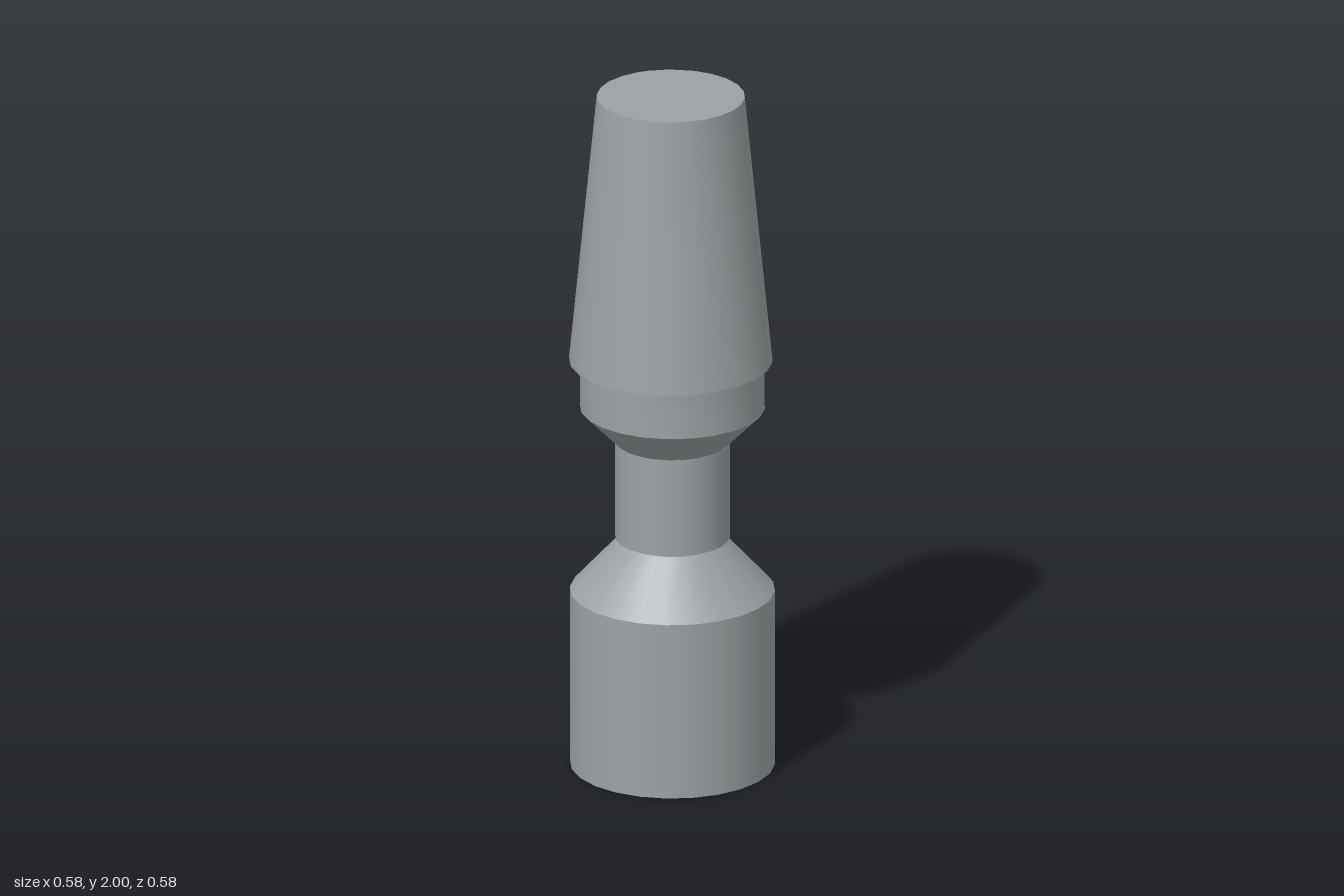
import * as THREE from 'three';

const SIDES = 24;
const material = new THREE.MeshStandardMaterial({ color: 0x9ca2a4 });

// Plain capped frustum, smooth around its sides.
function frustum(name, y0, y1, r0, r1) {
  const mesh = new THREE.Mesh(new THREE.CylinderGeometry(r1, r0, y1 - y0, SIDES), material);
  mesh.name = name;
  mesh.position.y = (y0 + y1) / 2;
  return mesh;
}

// Capped section lofted from columns: [bottom angle, bottom radius, top angle, top radius].
// Angles are in degrees, from -x towards -z. A repeated column makes a sharp edge.
function loft(name, y0, y1, columns) {
  const point = (deg, r, y) => {
    const a = THREE.MathUtils.degToRad(deg);
    return [-r * Math.cos(a), y, -r * Math.sin(a)];
  };
  const n = columns.length;
  const bottom = columns.map(c => point(c[0], c[1], y0));
  const top = columns.map(c => point(c[2], c[3], y1));
  // Side rings, cap rings (own vertices keep the rims sharp), cap centres
  const pos = [...bottom, ...top, ...bottom, ...top, [0, y0, 0], [0, y1, 0]].flat();
  const index = [];
  for (let i = 0; i < n; i++) {
    const j = (i + 1) % n;
    index.push(i, n + i, n + j, i, n + j, j);
    index.push(4 * n, 2 * n + i, 2 * n + j);
    index.push(4 * n + 1, 3 * n + j, 3 * n + i);
  }
  const geometry = new THREE.BufferGeometry();
  geometry.setAttribute('position', new THREE.Float32BufferAttribute(pos, 3));
  geometry.setIndex(index);
  geometry.computeVertexNormals();
  const mesh = new THREE.Mesh(geometry, material);
  mesh.name = name;
  return mesh;
}

// Evenly spaced columns, with those strictly between two angles replaced.
function columnsWith(r0, r1, from, to, special) {
  const list = [];
  for (let a = 0; a < 360; a += 360 / SIDES) {
    if (a <= from || a >= to) list.push([a, r0, a, r1]);
  }
  return [...list, ...special].sort((p, q) => p[0] - q[0]);
}

export function createModel() {
  const group = new THREE.Group();
  group.name = 'taperedSpindle';

  // Base and its shoulder
  group.add(frustum('base', 0, 0.52, 0.288, 0.288));
  group.add(frustum('baseShoulder', 0.52, 0.672, 0.288, 0.15));

  // Narrow neck, with a hairline step above the shoulder
  group.add(frustum('neck', 0.678, 0.966, 0.161, 0.161));
  group.add(frustum('neckCore', 0.66, 0.98, 0.148, 0.148));

  // Underside of the collar, then the collar with its bulge under the groove
  group.add(frustum('collarChamfer', 0.966, 1.068, 0.16, 0.26));
  group.add(loft('collar', 1.068, 1.212, columnsWith(0.259, 0.259, 0, 60, [
    [14, 0.259, 14, 0.259],
    [20, 0.266, 20, 0.284],
    [30, 0.264, 30, 0.28],
    [45, 0.261, 45, 0.274],
  ])));

  // Tapered head with a slanting groove at the back: one steep wall, one gentle slope
  const floor = [42.8, 0.264, 34, 0.206];
  const lip = [46.8, 0.285, 40, 0.208];
  const head = loft('taperedHead', 1.21, 2, columnsWith(0.286, 0.208, 15, 60, [
    [30, 0.277, 24, 0.208], floor, floor, lip, lip,
  ]));
  head.position.z = 0.006;
  group.add(head);

  return group;
}
